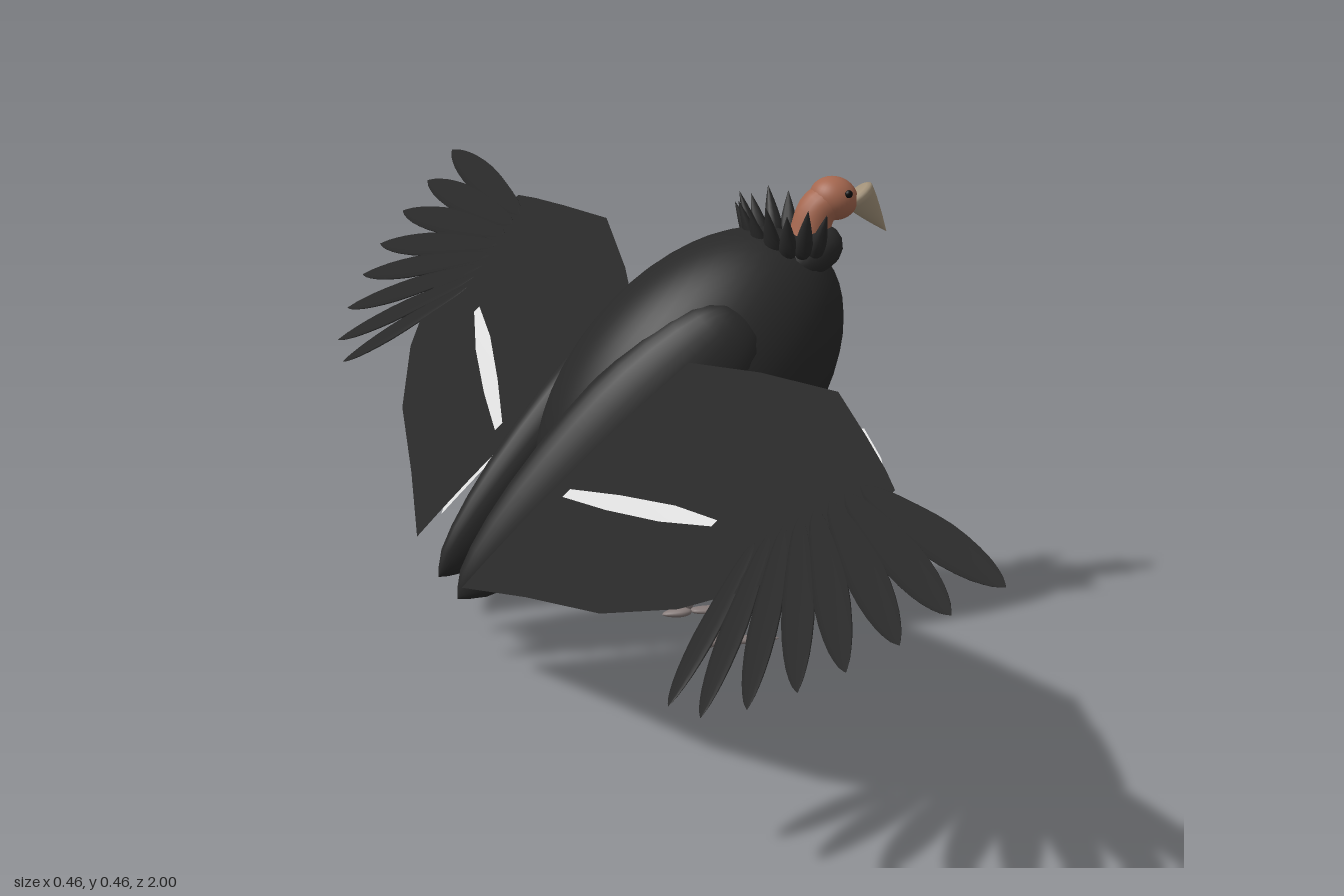
import * as THREE from 'three';

const mat = (name, color, side = THREE.FrontSide) => {
  const m = new THREE.MeshStandardMaterial({ color, side });
  m.name = name;
  return m;
};
const V = (x, y, z) => new THREE.Vector3(x, y, z);

export function createModel() {
  const black = mat('plumage black', 0x282828);
  const wingBlack = mat('wing black', 0x282828, THREE.DoubleSide);
  const white = mat('wing patch white', 0xdcdcdc, THREE.DoubleSide);
  const skin = mat('bare skin', 0xa5674f);
  const horn = mat('beak horn', 0xa09078);
  const grey = mat('leg grey', 0x857a78);
  const eyeBlack = mat('eye black', 0x0c0c0c);

  const root = new THREE.Group();
  root.name = 'bird';
  const add = (name, geo, material, parent = root) => {
    const m = new THREE.Mesh(geo, material);
    m.name = name;
    parent.add(m);
    return m;
  };

  // Unit profiles: [radius, position along the axis]
  const LEAF = [[0, 0], [0.45, 0.08], [0.8, 0.3], [1, 0.55], [0.8, 0.78], [0.4, 0.93], [0, 1]];
  const TEAR = [[0, 0], [0.5, 0.03], [0.82, 0.12], [1, 0.3], [0.95, 0.5], [0.7, 0.75], [0.35, 0.93], [0, 1]];
  const SPIKE = [[0, 0], [0.8, 0.05], [1, 0.3], [0.6, 0.65], [0, 1]];

  // Turned shape from a to b, flattened along the given normal
  function spindle(name, profile, material, a, b, width, thick = width, normal = V(0, 0, 1), parent = root, seg = 16) {
    const pts = new THREE.SplineCurve(profile.map(([r, t]) => new THREE.Vector2(r, t)))
      .getPoints(profile.length * 2).map(p => p.set(Math.max(0, p.x), p.y));
    const geo = new THREE.LatheGeometry(pts, seg);
    const y = b.clone().sub(a);
    const len = y.length();
    y.normalize();
    const x = y.clone().cross(normal).normalize();
    const z = x.clone().cross(y);
    geo.scale(width, len, thick);
    geo.applyMatrix4(new THREE.Matrix4().makeBasis(x, y, z).setPosition(a));
    return add(name, geo, material, parent);
  }
  function ellipsoid(name, material, c, r, angle = 0, parent = root) {
    const m = add(name, new THREE.SphereGeometry(1, 40, 28), material, parent);
    m.scale.set(...r);
    m.position.copy(c);
    m.rotation.z = angle;
    return m;
  }

  // Body
  ellipsoid('body', black, V(0.03, 0.252, 0), [0.192, 0.12, 0.104], 0.82);

  // Tail fan
  for (let i = -2; i <= 2; i++) {
    spindle('tailFeather', LEAF, black, V(-0.04, 0.21, i * 0.012),
      V(-0.208 + Math.abs(i) * 0.008, 0.068, i * 0.024), 0.025, 0.01, V(-0.65, 0.76, 0));
  }

  // Neck, head, beak and eyes
  const neckPath = new THREE.CatmullRomCurve3([V(0.135, 0.36, 0), V(0.152, 0.4, 0), V(0.163, 0.43, 0), V(0.182, 0.441, 0)]);
  add('neck', new THREE.TubeGeometry(neckPath, 20, 0.02, 18), skin);
  ellipsoid('head', skin, V(0.179, 0.44, 0), [0.025, 0.022, 0.022], -0.3);
  spindle('beak', [[0, 0], [0.9, 0.03], [0.9, 0.2], [0.5, 0.6], [0, 1]], horn,
    V(0.202, 0.446, 0), V(0.235, 0.403, 0), 0.018, 0.014);
  for (const s of [-1, 1]) ellipsoid('eye', eyeBlack, V(0.189, 0.447, s * 0.0195), [0.004, 0.004, 0.003]);

  // Neck collar and its ruff of spiky feathers
  const collar = add('collar', new THREE.TorusGeometry(0.032, 0.019, 14, 32), black);
  collar.position.set(0.138, 0.384, 0);
  collar.rotation.set(Math.PI / 2, 0.35, 0);
  for (let i = 0; i < 11; i++) {
    const a = Math.PI * (0.4 + 1.2 * i / 10);
    const c = Math.cos(a), s = Math.sin(a);
    spindle('ruffFeather', SPIKE, black, V(0.135 + 0.036 * c, 0.39, 0.046 * s),
      V(0.135 + 0.055 * c, 0.437 + (i % 2) * 0.006, 0.07 * s), 0.009, 0.007, V(c, 0, s), root, 10);
  }

  // Spread wings lie on one sloping, slightly arched sheet
  const up = V(-0.66, 0.752, 0);
  const onWing = (x, z, s, off = 0) =>
    V(x, 0.306 + 0.877 * x, z * s).addScaledVector(up, off - 0.4 * (x + 0.08) ** 2);

  // Sheet between leading and trailing edges at stations [z, lead, trail]
  function sheet(name, material, stations, s, off, parent) {
    const n = 8, pos = [], idx = [];
    stations.forEach(([z, lead, trail], i) => {
      for (let j = 0; j <= n; j++) {
        pos.push(...onWing(lead + (trail - lead) * j / n, z, s, off).toArray());
        if (i && j) {
          const d = i * (n + 1) + j, c = d - 1, b = d - n - 1, a = b - 1;
          idx.push(a, c, b, b, c, d);
        }
      }
    });
    const geo = new THREE.BufferGeometry();
    geo.setAttribute('position', new THREE.Float32BufferAttribute(pos, 3));
    geo.setIndex(idx);
    geo.computeVertexNormals();
    return add(name, geo, material, parent);
  }

  const wingStations = [[0.1, 0, -0.235], [0.25, 0.027, -0.205], [0.42, 0.05, -0.175],
    [0.55, 0.037, -0.135], [0.64, 0.027, -0.09], [0.69, 0.02, -0.04]];
  const patchStations = [[0.105, -0.115, -0.21], [0.25, -0.055, -0.135], [0.4, 0.008, -0.065],
    [0.52, 0.041, -0.03], [0.6, 0.032, -0.008], [0.67, 0.018, 0.008]];
  const streakStations = [[0.14, -0.128, -0.136], [0.25, -0.106, -0.121], [0.37, -0.085, -0.101], [0.47, -0.073, -0.079]];
  const tips = [[0.015, 1], [-0.02, 0.97], [-0.055, 0.945], [-0.09, 0.91],
    [-0.12, 0.87], [-0.15, 0.82], [-0.175, 0.76], [-0.185, 0.69]];

  for (const s of [-1, 1]) {
    const wing = new THREE.Group();
    wing.name = s > 0 ? 'leftWing' : 'rightWing';
    root.add(wing);
    sheet('wingSheet', wingBlack, wingStations, s, 0, wing);
    sheet('underwingPatch', white, patchStations, s, -0.005, wing);
    sheet('upperStreak', white, streakStations, s, 0.003, wing);
    tips.forEach(([x, z], i) => {
      const t = i / 7;
      spindle('flightFeather', LEAF, black, onWing(0.008 - 0.075 * t, 0.63 - 0.07 * t, s),
        onWing(x, z, s), 0.019, 0.003, up, wing, 10);
    });

    // Folded covert on the flank with a pale streak
    const out = V(-0.2, 0.15, s).normalize();
    spindle('flankCovert', TEAR, black, V(0.07, 0.342, s * 0.078), V(-0.22, 0.065, s * 0.042), 0.062, 0.034, out, root, 28);
    spindle('flankStreak', LEAF, white, V(0.02, 0.272, s * 0.099), V(-0.087, 0.14, s * 0.081), 0.012, 0.006, out, root, 12);

    // Legs
    const leg = new THREE.Group();
    leg.name = s > 0 ? 'leftLeg' : 'rightLeg';
    root.add(leg);
    const z = s * 0.057;
    spindle('thigh', [[0, 0], [0.75, 0.03], [1, 0.25], [0.9, 0.55], [0.6, 0.85], [0.4, 0.97], [0, 1]], black,
      V(0.04, 0.18, z), V(0.045, 0.083, z), 0.028, 0.026, V(0, 0, 1), leg, 20);
    const shank = add('shank', new THREE.CylinderGeometry(0.0065, 0.005, 0.082, 12), grey, leg);
    shank.position.set(0.045, 0.053, z);
    spindle('ankle', LEAF, grey, V(0.045, 0.03, z), V(0.045, 0.006, z), 0.006, 0.006, V(0, 0, 1), leg);
    spindle('frontToe', TEAR, grey, V(0.047, 0.006, z), V(0.108, 0.004, z), 0.01, 0.004, V(0, 1, 0), leg);
    spindle('backToe', TEAR, grey, V(0.048, 0.006, z), V(0.017, 0.004, z), 0.009, 0.005, V(0, 1, 0), leg);
  }
  return root;
}
